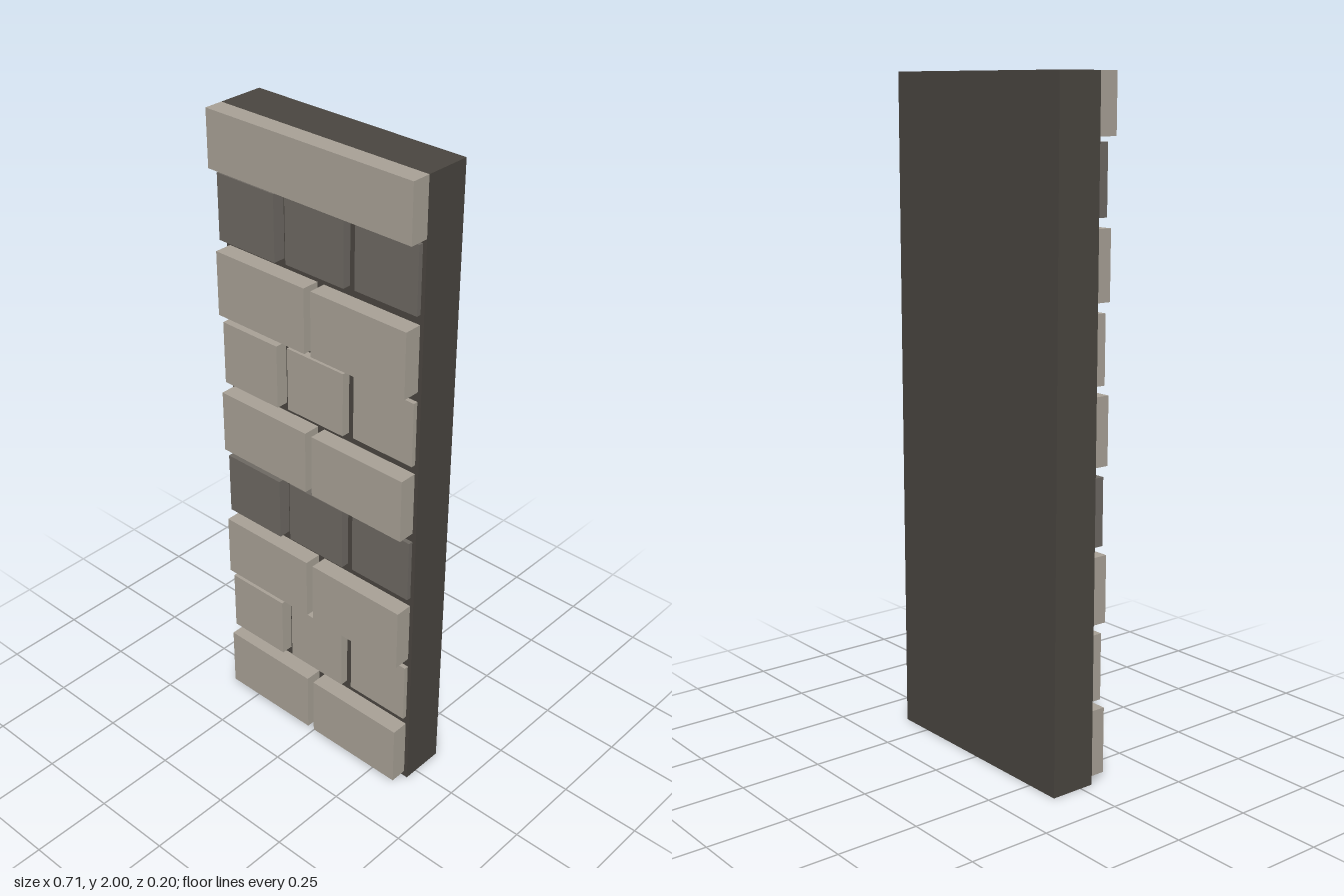
import * as THREE from 'three';

const mortar = new THREE.MeshStandardMaterial({ color: 0x4a4640 });
mortar.name = 'dark mortar';
const lightStone = new THREE.MeshStandardMaterial({ color: 0xa9a297 });
lightStone.name = 'light stone';
const darkStone = new THREE.MeshStandardMaterial({ color: 0x6e6963 });
darkStone.name = 'dark stone';

// Box given by its extents along each axis
function block(name, material, [x0, x1], [y0, y1], [z0, z1]) {
  const mesh = new THREE.Mesh(new THREE.BoxGeometry(x1 - x0, y1 - y0, z1 - z0), material);
  mesh.position.set((x0 + x1) / 2, (y0 + y1) / 2, (z0 + z1) / 2);
  mesh.name = name;
  return mesh;
}

export function createModel() {
  const wall = new THREE.Group();
  wall.name = 'stoneWallPanel';
  const half = 0.357, face = 0.042;

  // Backing slab and cap stone
  wall.add(block('backingSlab', mortar, [-half, half], [0, 2], [-0.1, face]));
  wall.add(block('capStone', lightStone, [-half, half], [1.83, 2], [face, 0.1]));

  // Courses alternate two long stones with three short, stepped ones: [x0, x1, front z]
  const longCourse = [[-0.345, -0.012, 0.096], [0.012, 0.345, 0.096]];
  const shortCourse = [[-0.345, -0.133, 0.081], [-0.105, 0.105, 0.068], [0.133, 0.345, 0.056]];
  for (let row = 0; row < 8; row++) {
    const course = new THREE.Group();
    course.name = `course${row + 1}`;
    const y = 0.019 + row * 0.2282;
    const material = row % 4 === 3 ? darkStone : lightStone;
    for (const [x0, x1, front] of row % 2 ? shortCourse : longCourse) {
      course.add(block('stone', material, [x0, x1], [y, y + 0.199], [face, front]));
    }
    wall.add(course);
  }
  return wall;
}
